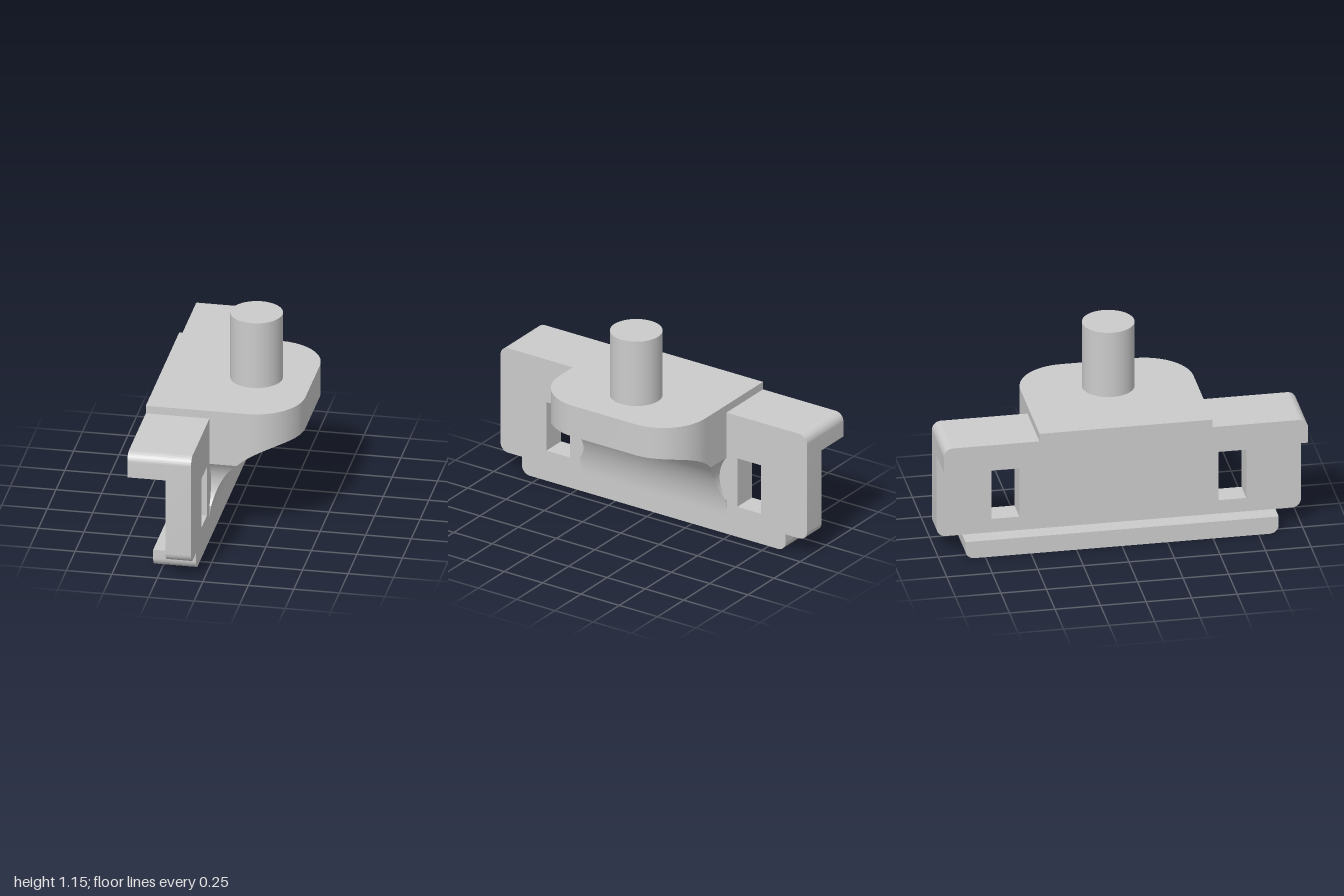
import * as THREE from 'three';
import { toCreasedNormals } from 'three/addons/utils/BufferGeometryUtils.js';

const CREASE = 0.5;
const FRONT = -0.065; // x of the plate's mounting face
const R = 0.475;      // radius of the concave underside
const TOP = 0.77;

// Closed outline in (z, y); each corner is [z, y, radius]
function roundedShape(corners) {
  const shape = new THREE.Shape();
  const n = corners.length;
  corners.forEach(([x, y, r], i) => {
    const p = new THREE.Vector2(x, y);
    const toward = (c) => new THREE.Vector2(c[0], c[1]).sub(p).normalize().multiplyScalar(r);
    const a = toward(corners[(i + n - 1) % n]);
    const b = toward(corners[(i + 1) % n]);
    const start = p.clone().add(a);
    if (i === 0) shape.moveTo(start.x, start.y);
    else shape.lineTo(start.x, start.y);
    if (r > 0) {
      const c = start.clone().add(b);
      const a0 = Math.atan2(-b.y, -b.x);
      const a1 = Math.atan2(-a.y, -a.x);
      shape.absarc(c.x, c.y, r, a0, a1, false);
    }
  });
  shape.closePath();
  return shape;
}

// Extrude a (z, y) outline along x from x0 to x1
function alongX(shape, x0, x1) {
  const g = new THREE.ExtrudeGeometry(shape, { depth: x1 - x0, bevelEnabled: false, curveSegments: 10 });
  g.rotateY(Math.PI / 2).translate(x0, 0, 0);
  return toCreasedNormals(g, CREASE);
}

// Half width of the bracket: rounded in plan, scooped at the sides
function halfWidth(x, y) {
  const dx = Math.min(Math.max(x - 0.14, 0), 0.27);
  const plan = 0.205 + Math.sqrt(0.27 * 0.27 - dx * dx);
  const d2 = 0.196 * 0.196 - (y - 0.33) ** 2;
  return d2 > 0 ? Math.min(plan, 0.626 - Math.sqrt(d2)) : plan;
}

// Bracket lofted through sections along x
function bracketGeometry() {
  const angles = [Math.asin(0.095 / R), Math.asin(0.345 / R)];
  for (let i = 0; i <= 40; i++) angles.push((i / 40) * Math.PI / 2);
  for (let i = 0; i < 20; i++) {
    angles.push(Math.acos((0.27 - 0.27 * Math.sin((i / 20) * Math.PI / 2)) / R));
  }
  angles.sort((a, b) => a - b);

  const levels = [0.11];
  for (let i = 0; i <= 20; i++) levels.push(0.205 + 0.25 * i / 20);
  levels.push(TOP);

  const rings = angles.map((t) => {
    const x = 0.41 - R * Math.cos(t);
    const low = 0.11 + R * Math.sin(t);
    const side = levels.map((l) => {
      const y = Math.max(l, low);
      return new THREE.Vector3(x, y, halfWidth(x, y));
    });
    const other = side.map((p) => new THREE.Vector3(p.x, p.y, -p.z)).reverse();
    return [...side, ...other];
  });

  const out = [];
  const tri = (a, b, c) => {
    const area = b.clone().sub(a).cross(c.clone().sub(a)).length();
    if (area > 1e-9) for (const p of [a, b, c]) out.push(p.x, p.y, p.z);
  };
  const n = levels.length * 2;
  for (let i = 0; i < rings.length - 1; i++) {
    for (let j = 0; j < n; j++) {
      const k = (j + 1) % n;
      tri(rings[i][j], rings[i + 1][j], rings[i + 1][k]);
      tri(rings[i][j], rings[i + 1][k], rings[i][k]);
    }
  }
  const end = rings[rings.length - 1];
  for (let k = 1; k < n - 1; k++) tri(end[0], end[k + 1], end[k]);

  const g = new THREE.BufferGeometry();
  g.setAttribute('position', new THREE.Float32BufferAttribute(out, 3));
  return toCreasedNormals(g, CREASE);
}

export function createModel() {
  const group = new THREE.Group();
  const material = new THREE.MeshStandardMaterial({ color: 0xcccccc });
  const add = (name, geometry) => {
    const mesh = new THREE.Mesh(geometry, material);
    mesh.name = name;
    group.add(mesh);
    return mesh;
  };

  // Upright plate with two rectangular slots
  const r = 0.05;
  const plate = roundedShape([
    [-0.86, 0, r], [0.86, 0, r], [0.86, 0.1, 0], [1, 0.1, r],
    [1, 0.725, r], [-1, 0.725, r], [-1, 0.1, r], [-0.86, 0.1, 0],
  ]);
  for (const s of [-1, 1]) {
    const c = s * 0.623;
    plate.holes.push(roundedShape([
      [c - 0.077, 0.18, 0], [c - 0.077, 0.47, 0], [c + 0.077, 0.47, 0], [c + 0.077, 0.18, 0],
    ]));
  }
  add('plate', alongX(plate, -0.205, FRONT));

  // Flanges reaching back from the plate
  add('topFlange', alongX(roundedShape([
    [-1, 0.585, 0], [1, 0.585, 0], [1, 0.725, r], [-1, 0.725, r],
  ]), -0.415, -0.205));
  add('bottomFlange', alongX(roundedShape([
    [-0.86, 0, r], [0.86, 0, r], [0.86, 0.1, 0], [-0.86, 0.1, 0],
  ]), -0.3, -0.205));

  // Raised pad on the top flange, level with the bracket
  add('topPad', new THREE.BoxGeometry(FRONT + 0.415, TOP - 0.725, 0.95))
    .position.set((FRONT - 0.415) / 2, (TOP + 0.725) / 2, 0);

  // Curved bracket and its peg
  add('bracket', bracketGeometry());
  add('peg', new THREE.CylinderGeometry(0.1425, 0.1425, 0.385, 64)).position.set(0.1025, 0.9625, 0);

  return group;
}
